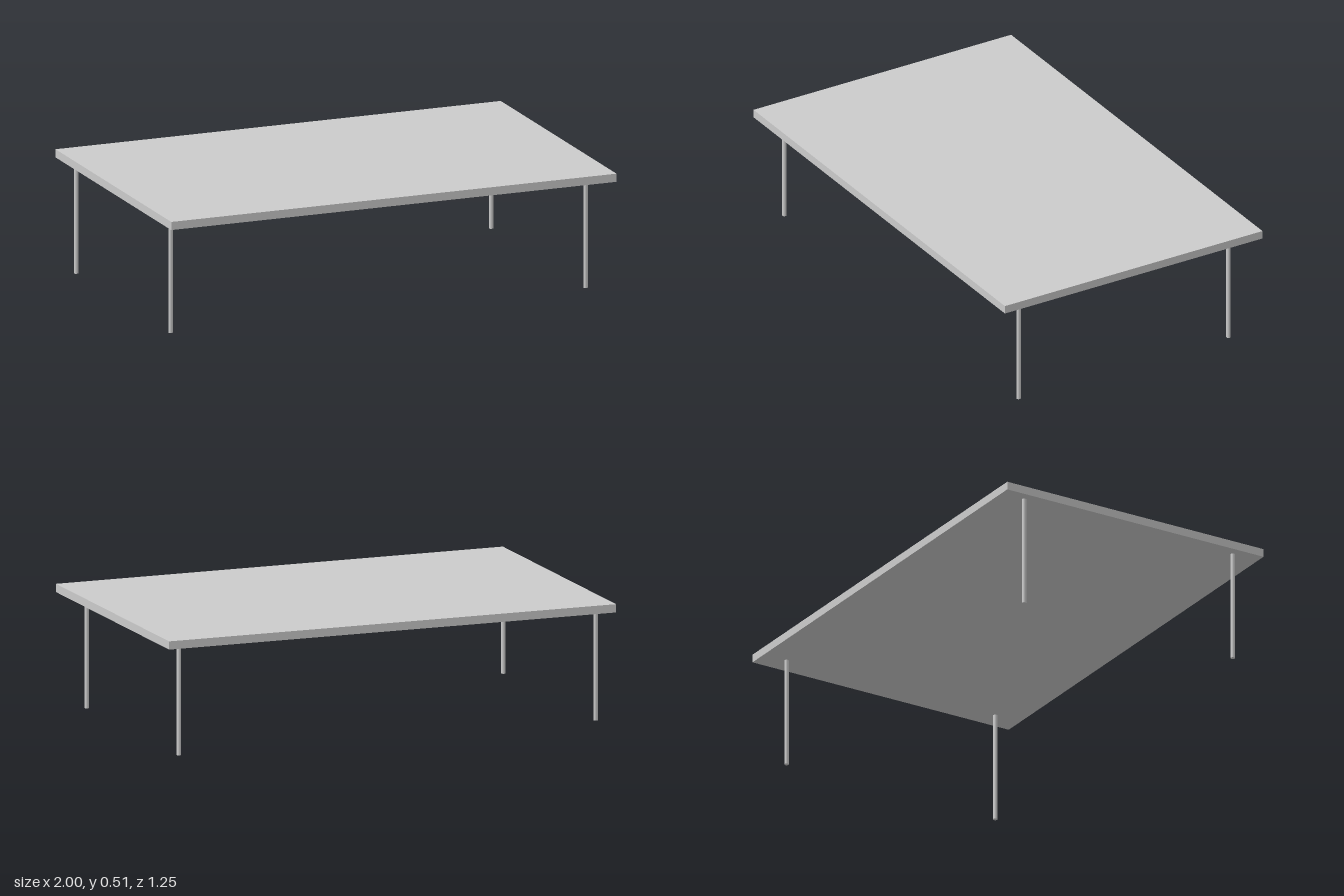
import * as THREE from 'three';

export function createModel() {
  const model = new THREE.Group();
  model.name = 'table';
  const material = new THREE.MeshStandardMaterial({ color: 0xcccccc });

  const top = 0.51, underside = 0.475;

  // Flat rectangular slab
  const tabletop = new THREE.Mesh(new THREE.BoxGeometry(2, top - underside, 1.252), material);
  tabletop.name = 'tabletop';
  tabletop.position.y = (top + underside) / 2;
  model.add(tabletop);

  // Four thin round legs, set slightly off centre under the slab
  const legGeometry = new THREE.CylinderGeometry(0.0095, 0.0095, underside, 16);
  for (const [xName, x] of [['Right', -0.953], ['Left', 0.911]]) {
    for (const [zName, z] of [['front', 0.505], ['back', -0.515]]) {
      const leg = new THREE.Mesh(legGeometry, material);
      leg.name = `${zName}${xName}Leg`;
      leg.position.set(x, underside / 2, z);
      model.add(leg);
    }
  }

  return model;
}
